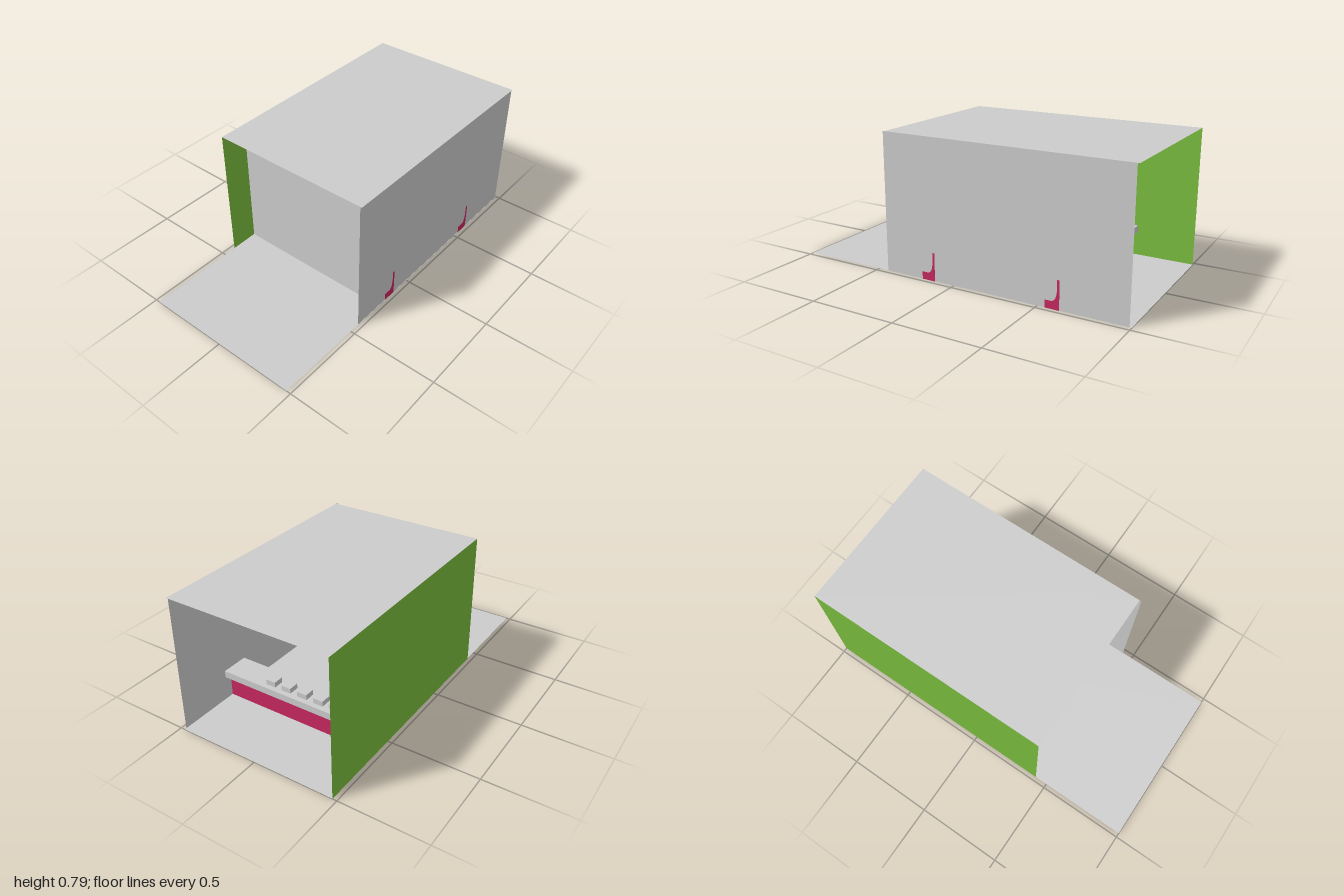
import * as THREE from 'three';

const mat = (name, color, side = THREE.FrontSide) => {
  const m = new THREE.MeshStandardMaterial({ color, side });
  m.name = name;
  return m;
};

export function createModel() {
  const model = new THREE.Group();
  model.name = 'musicRoom';
  const grey = mat('grey', 0xcccccc, THREE.DoubleSide);
  const green = mat('green', 0x79bd3d, THREE.DoubleSide);
  const crimson = mat('crimson', 0xc62860);

  const add = (parent, name, geometry, material, x = 0, y = 0, z = 0) => {
    const mesh = new THREE.Mesh(geometry, material);
    mesh.name = name;
    mesh.position.set(x, y, z);
    parent.add(mesh);
    return mesh;
  };

  // Room shell: single-sheet panels
  const H = 0.792, D = 0.95, half = D / 2;
  add(model, 'floor', new THREE.PlaneGeometry(2, D).rotateX(-Math.PI / 2), grey, 0, 0.001, 0);
  add(model, 'roof', new THREE.PlaneGeometry(1.426, D).rotateX(-Math.PI / 2), grey, 0.287, H, 0);
  add(model, 'frontWall', new THREE.PlaneGeometry(1.426, H), grey, 0.276, H / 2, half - 0.001);
  add(model, 'backWall', new THREE.PlaneGeometry(1.426, H), green, 0.287, H / 2, -half);
  add(model, 'innerWall', new THREE.PlaneGeometry(D - 0.002, H).rotateY(Math.PI / 2), grey, -0.26, H / 2, 0);

  // Counter base: upright panel with a foot and a coved inner corner
  const profile = new THREE.Shape();
  profile.moveTo(0, 0);
  profile.lineTo(0, 0.16);
  profile.lineTo(-0.013, 0.16);
  profile.lineTo(-0.013, 0.105);
  profile.quadraticCurveTo(-0.016, 0.045, -0.045, 0.043);
  profile.lineTo(-0.08, 0.043);
  profile.lineTo(-0.08, 0);
  profile.closePath();
  const baseGeo = new THREE.ExtrudeGeometry(profile, { depth: D - 0.002, bevelEnabled: false, curveSegments: 8 });
  const slabGeo = new THREE.BoxGeometry(0.16, 0.04, D - 0.004);
  const blockGeo = new THREE.BoxGeometry(0.06, 0.03, 0.059);

  for (const x of [0.622, -0.12]) {
    const counter = new THREE.Group();
    counter.name = 'counter';
    counter.position.x = x;
    add(counter, 'counterBase', baseGeo, crimson, 0, 0, -half + 0.002);
    add(counter, 'counterTop', slabGeo, grey, -0.037, 0.16, 0);
    for (const z of [0.175, 0.073, -0.031, -0.134, -0.232]) {
      add(counter, 'counterBlock', blockGeo, grey, -0.016, 0.195, z);
    }
    model.add(counter);
  }

  // Wall ornaments: pairs of joined musical notes
  const rod = (parent, name, a, b, radius) => {
    const dir = b.clone().sub(a);
    const mesh = add(parent, name, new THREE.CylinderGeometry(radius, radius, dir.length(), 12), grey);
    mesh.position.copy(a).add(b).multiplyScalar(0.5);
    mesh.quaternion.setFromUnitVectors(new THREE.Vector3(0, 1, 0), dir.normalize());
  };
  const headGeo = new THREE.SphereGeometry(1, 20, 14).scale(0.012, 0.0115, 0.017);
  for (const z of [0.343, 0.193, 0.035, -0.112, -0.268]) {
    const note = new THREE.Group();
    note.name = 'notePair';
    note.position.set(-0.245, 0, z);
    const tops = [];
    for (const [hz, hy, top] of [[0, 0.264, 0.328], [-0.072, 0.284, 0.35]]) {
      add(note, 'noteHead', headGeo, grey, 0, hy, hz);
      const tip = new THREE.Vector3(0, top, hz - 0.012);
      rod(note, 'noteStem', new THREE.Vector3(0, hy, hz - 0.012), tip, 0.006);
      tops.push(tip.clone());
    }
    tops[0].z += 0.006;
    tops[1].z -= 0.004;
    rod(note, 'noteBeam', tops[0], tops[1], 0.007);
    model.add(note);
  }
  return model;
}
